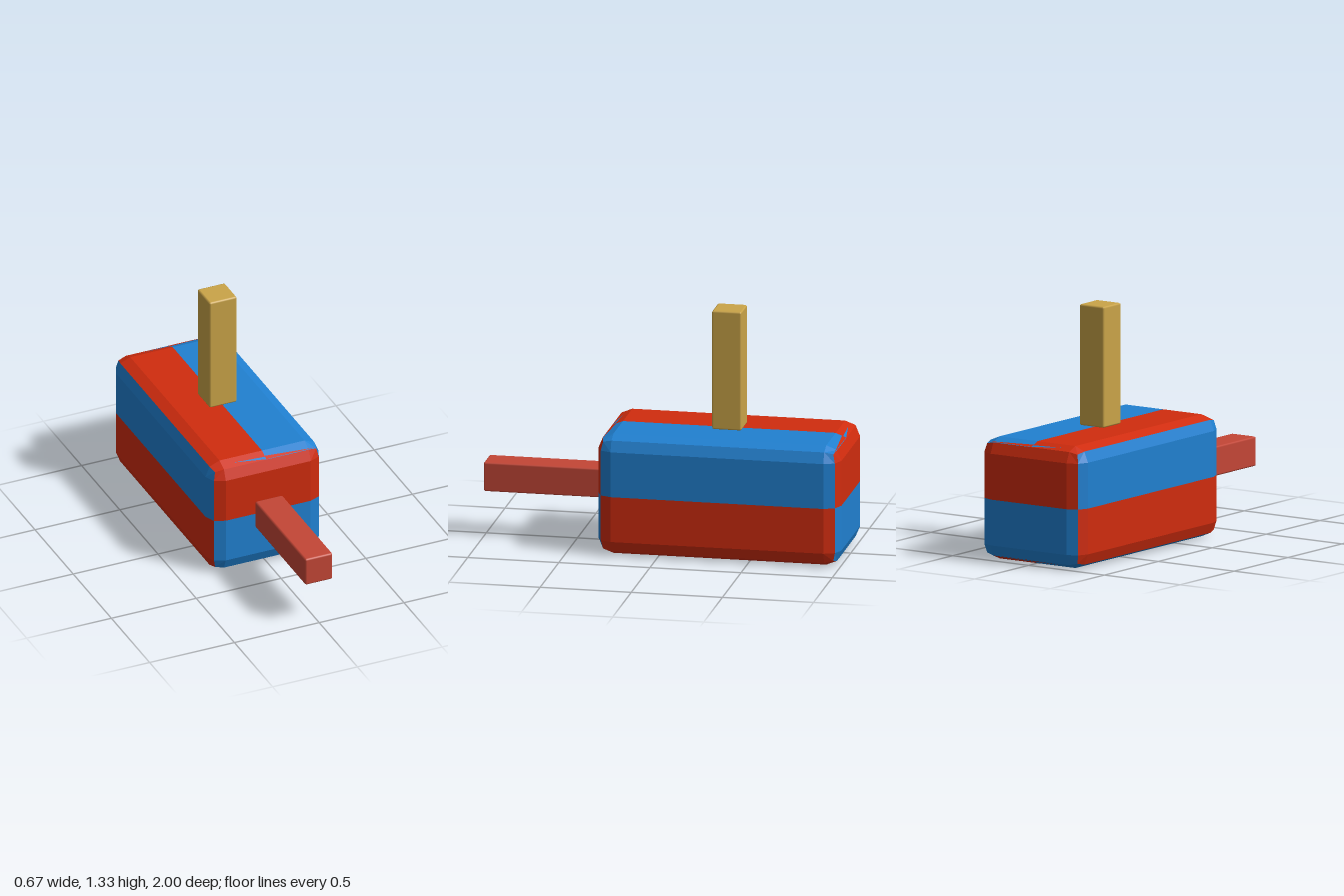
import * as THREE from 'three';
import { RoundedBoxGeometry } from 'three/addons/geometries/RoundedBoxGeometry.js';

const mat = (name, color, side = THREE.FrontSide) =>
  new THREE.MeshStandardMaterial({ name, color, side });

// Flat-shaded mesh from loose triangles
function facetMesh(name, points, material) {
  const g = new THREE.BufferGeometry();
  g.setAttribute('position', new THREE.Float32BufferAttribute(points, 3));
  g.computeVertexNormals();
  const mesh = new THREE.Mesh(g, material);
  mesh.name = name;
  return mesh;
}

export function createModel() {
  const red = mat('red', 0xd02c0e);
  const blue = mat('blue', 0x2080d0);
  const gold = mat('gold', 0xcaa448);
  const brick = mat('brick red', 0xc44636);

  const model = new THREE.Group();
  model.name = 'twoToneBlock';

  // Body: bevelled block, each face split into a red and a blue half
  const half = [0.3333, 0.3333, 0.6667];
  const center = [0, 0.3333, -0.3333];
  const r = 0.083;
  // [inner position factor, bevel direction] across a face
  const steps = [[-1, -1], [-1, 0], [0, 0], [1, 0], [1, 1]];

  const corner = (k, s, a, b) => {
    const u = (k + 1) % 3, v = (k + 2) % 3;
    const pos = [0, 0, 0], dir = [0, 0, 0];
    [pos[k], dir[k]] = [s, s];
    [pos[u], dir[u]] = a;
    [pos[v], dir[v]] = b;
    const len = Math.hypot(...dir);
    return pos.map((p, i) => center[i] + p * (half[i] - r) + dir[i] / len * r);
  };

  const redPts = [], bluePts = [];
  for (let k = 0; k < 3; k++) {
    for (const s of [-1, 1]) {
      // Sides split at mid height, top and bottom split down the middle
      const splitAxis = k === 1 ? 0 : 1;
      const lowIsRed = k === 0 || (k === 1 && s > 0);
      for (let i = 0; i < 4; i++) {
        for (let j = 0; j < 4; j++) {
          const low = ((k + 1) % 3 === splitAxis ? i : j) < 2;
          const out = low === lowIsRed ? redPts : bluePts;
          const p = corner(k, s, steps[i], steps[j]);
          const q = corner(k, s, steps[i + 1], steps[j]);
          const t = corner(k, s, steps[i + 1], steps[j + 1]);
          const w = corner(k, s, steps[i], steps[j + 1]);
          if (s > 0) out.push(...p, ...q, ...t, ...p, ...t, ...w);
          else out.push(...p, ...t, ...q, ...p, ...w, ...t);
        }
      }
    }
  }
  const body = new THREE.Group();
  body.name = 'body';
  body.add(facetMesh('bodyRed', redPts, red), facetMesh('bodyBlue', bluePts, blue));

  // Thin colour wedges on the top and bottom bevels at both ends
  const wedges = { red: [], blue: [] };
  for (const sy of [-1, 1]) {
    for (const sz of [-1, 1]) {
      const onBevel = (x, t) => [
        x,
        center[1] + sy * (half[1] - r * 0.293 * t + 0.001),
        center[2] + sz * (half[2] - r + r * 0.707 * t),
      ];
      const left = [onBevel(-0.18, 0.55), onBevel(0, 0.98), onBevel(0, 0.7)];
      const right = [onBevel(0, 0.6), onBevel(0, 0.98), onBevel(0.29, 0.95)];
      const add = (tri, out) => {
        const [a, b, c] = tri;
        const up = (b[2] - a[2]) * (c[0] - a[0]) - (b[0] - a[0]) * (c[2] - a[2]);
        out.push(...a, ...(up * sy > 0 ? [...b, ...c] : [...c, ...b]));
      };
      add(left, sy > 0 ? wedges.blue : wedges.red);
      add(right, sy > 0 ? wedges.red : wedges.blue);
    }
  }
  body.add(facetMesh('bevelWedgesRed', wedges.red, red));
  body.add(facetMesh('bevelWedgesBlue', wedges.blue, blue));
  model.add(body);

  // Square rods: one standing on top, one pointing forward
  const rod = (name, material, x, y, z) => {
    const g = new RoundedBoxGeometry(0.162, 0.662, 0.162, 1, 0.01);
    const mesh = new THREE.Mesh(g, material);
    mesh.name = name;
    mesh.position.set(x, y, z);
    model.add(mesh);
    return mesh;
  };
  rod('topRod', gold, 0, 1.002, -0.335);
  rod('frontRod', brick, 0, 0.335, 0.668).rotation.x = Math.PI / 2;

  return model;
}
